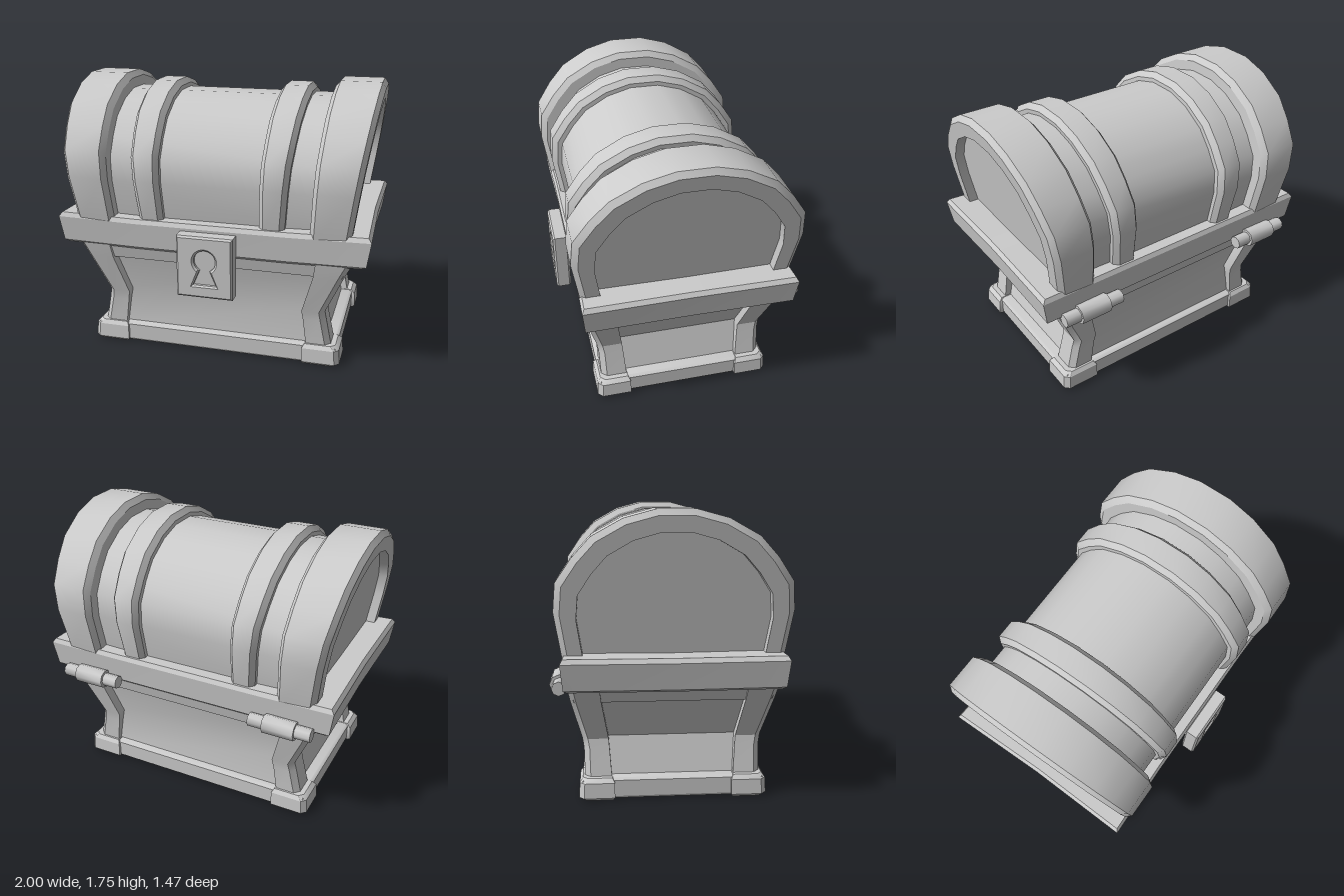
import * as THREE from 'three';
import { toCreasedNormals } from 'three/addons/utils/BufferGeometryUtils.js';

const material = new THREE.MeshStandardMaterial({ color: 0xcccccc });

function addMesh(parent, name, geometry) {
  const mesh = new THREE.Mesh(geometry, material);
  mesh.name = name;
  parent.add(mesh);
  return mesh;
}

// Skin closed rings of [x, y, z] points and cap both ends
function loft(rings) {
  const pos = [];
  const tri = (...pts) => pts.forEach((p) => pos.push(...p));
  const n = rings[0].length;
  const centre = (ring) => [0, 1, 2].map((k) => ring.reduce((s, p) => s + p[k], 0) / n);
  const first = rings[0], last = rings[rings.length - 1];
  const c0 = centre(first), c1 = centre(last);
  for (let j = 0; j < n; j++) {
    const k = (j + 1) % n;
    for (let i = 0; i < rings.length - 1; i++) {
      const a = rings[i][j], b = rings[i][k], c = rings[i + 1][k], d = rings[i + 1][j];
      tri(a, b, c);
      tri(a, c, d);
    }
    tri(c0, first[k], first[j]);
    tri(c1, last[j], last[k]);
  }
  const g = new THREE.BufferGeometry();
  g.setAttribute('position', new THREE.Float32BufferAttribute(pos, 3));
  return toCreasedNormals(g, 0.55);
}

// Rectangular ring at height y
const rect = ([y, hx, hz]) => [[-hx, y, hz], [hx, y, hz], [hx, y, -hz], [-hx, y, -hz]];

// Rectangular ring whose sides bow slightly inward between the corners
function bowedRect([y, hx, hz]) {
  const b = 0.014;
  return [
    [-hx, y, hz], [-hx * 0.5, y - b, hz - b], [hx * 0.5, y - b, hz - b],
    [hx, y, hz], [hx - b, y - b / 2, 0],
    [hx, y, -hz], [hx * 0.5, y - b, b - hz], [-hx * 0.5, y - b, b - hz],
    [-hx, y, -hz], [b - hx, y - b / 2, 0],
  ];
}

// Corner post from levels [y, outer x, inner x, outer z, inner z], outer edge chamfered
function cornerPost(levels, sx, sz, c) {
  return loft(levels.map(([y, xo, xi, zo, zi]) => {
    const ring = [[xi, zo], [xo - c, zo], [xo, zo - c], [xo, zi], [xi, zi]]
      .map(([x, z]) => [x * sx, y, z * sz]);
    return sx * sz < 0 ? ring.reverse() : ring;
  }));
}

// Lid arch as [z, y] from back to front
const halfArch = [[0.11, 1.75], [0.295, 1.7], [0.475, 1.6], [0.585, 1.48],
  [0.68, 1.34], [0.695, 1.17], [0.65, 0.88]];
const arch = [...halfArch.map(([z, y]) => [-z, y]).reverse(), ...halfArch];

// Point of the arch sunk by depth d
const sink = ([z, y], d) => [z * (1 - d / 0.695), 0.88 + (y - 0.88) * (1 - d / 0.87)];

// The lid flares outward with height: x runs from base to top
const flare = (y, base, top) => base + (top - base) * (y - 0.91) / 0.82;

// Chamfered strap following the arch
function strap(s, outer, inner) {
  const section = (p) => {
    const ring = [[0, 0.13, 0], [0, 0.037, 0], [0, 0, -0.03],
      [1, 0, 0.028], [1, 0.037, 0], [1, 0.13, 0]].map(([side, d, shift]) => {
      const [z, y] = sink(p, d);
      return [s * (flare(y, ...(side ? inner : outer)) + shift), y, z];
    });
    return s < 0 ? ring.reverse() : ring;
  };
  return loft(arch.map(section));
}

function buildBase() {
  const base = new THREE.Group();
  base.name = 'base';

  // Waisted panels with an overhanging ledge at the top
  addMesh(base, 'bodyPanels', loft([[0.1, 0.735, 0.505], [0.36, 0.665, 0.485],
    [0.625, 0.79, 0.545], [0.62, 0.83, 0.59], [0.72, 0.865, 0.612]].map(rect)));
  addMesh(base, 'plinth', loft([[0.005, 0.795, 0.54], [0.02, 0.805, 0.55],
    [0.12, 0.805, 0.55], [0.132, 0.785, 0.53]].map(rect)));

  // Corner legs and feet
  const leg = [[0.1, 0.775, 0.615, 0.535, 0.37], [0.3, 0.735, 0.59, 0.54, 0.385],
    [0.36, 0.725, 0.58, 0.55, 0.39], [0.62, 0.84, 0.655, 0.612, 0.43],
    [0.72, 0.888, 0.67, 0.63, 0.44]];
  const foot = [[0, 0.815, 0.6, 0.555, 0.365], [0.018, 0.832, 0.59, 0.572, 0.355],
    [0.11, 0.825, 0.59, 0.567, 0.355], [0.135, 0.8, 0.605, 0.548, 0.37]];
  for (const sx of [-1, 1]) for (const sz of [-1, 1]) {
    addMesh(base, 'leg', cornerPost(leg, sx, sz, 0.035));
    addMesh(base, 'foot', cornerPost(foot, sx, sz, 0.03));
  }
  return base;
}

function buildLid() {
  const lid = new THREE.Group();
  lid.name = 'lid';

  addMesh(lid, 'rim', loft([[0.712, 0.945, 0.625], [0.73, 0.975, 0.645],
    [0.89, 1, 0.66], [0.917, 0.98, 0.645]].map(bowedRect)));

  // Barrel whose ends form the recessed end panels
  const barrelRing = (s) => arch.map((p) => {
    const [z, y] = sink(p, 0.102);
    return [s * flare(y, 0.82, 0.94), y, z];
  });
  addMesh(lid, 'barrel', loft([-1, 1].map(barrelRing)));

  for (const s of [-1, 1]) {
    addMesh(lid, 'endStrap', strap(s, [0.882, 1], [0.63, 0.685]));
    const middle = addMesh(lid, 'middleStrap', strap(s, [0.47, 0.54], [0.31, 0.337]));
    // Middle straps stand less proud than the end straps
    middle.scale.set(1, 0.954, 0.945);
    middle.position.y = 0.88 * (1 - 0.954);
  }
  return lid;
}

function buildLock() {
  const lock = new THREE.Group();
  lock.name = 'lock';

  // Face plate with a keyhole
  const face = new THREE.Shape([[-0.18, 0.46], [0.18, 0.46], [0.18, 0.86], [-0.18, 0.86]]
    .map(([x, y]) => new THREE.Vector2(x, y)));
  const hole = new THREE.Path();
  hole.moveTo(-0.075, 0.54);
  hole.lineTo(-0.033, 0.638);
  hole.absarc(0, 0.7, 0.07, -Math.PI / 2 - 0.49, -Math.PI / 2 + 0.49, true);
  hole.lineTo(0.075, 0.54);
  hole.closePath();
  face.holes.push(hole);
  const plate = new THREE.ExtrudeGeometry(face, {
    depth: 0.075, bevelEnabled: true, bevelThickness: 0.012, bevelSize: 0.012,
    bevelOffset: -0.012, bevelSegments: 1, curveSegments: 14,
  });
  addMesh(lock, 'lockPlate', toCreasedNormals(plate, 0.5)).position.z = 0.648;
  addMesh(lock, 'keyholeFloor', new THREE.BoxGeometry(0.3, 0.34, 0.06))
    .position.set(0, 0.66, 0.675);
  return lock;
}

// Hinge: thin pin through a thicker octagonal knuckle
function buildHinge(s) {
  const hinge = new THREE.Group();
  hinge.name = 'hinge';
  for (const [name, r, length] of [['hingePin', 0.043, 0.405], ['hingeKnuckle', 0.061, 0.205]]) {
    const g = new THREE.CylinderGeometry(r, r, length, 8);
    g.rotateZ(Math.PI / 2);
    addMesh(hinge, name, toCreasedNormals(g, 0.9));
  }
  hinge.position.set(s * 0.677, 0.72, -0.674);
  return hinge;
}

export function createModel() {
  const chest = new THREE.Group();
  chest.name = 'chest';
  chest.add(buildBase(), buildLid(), buildLock(), buildHinge(-1), buildHinge(1));
  return chest;
}
